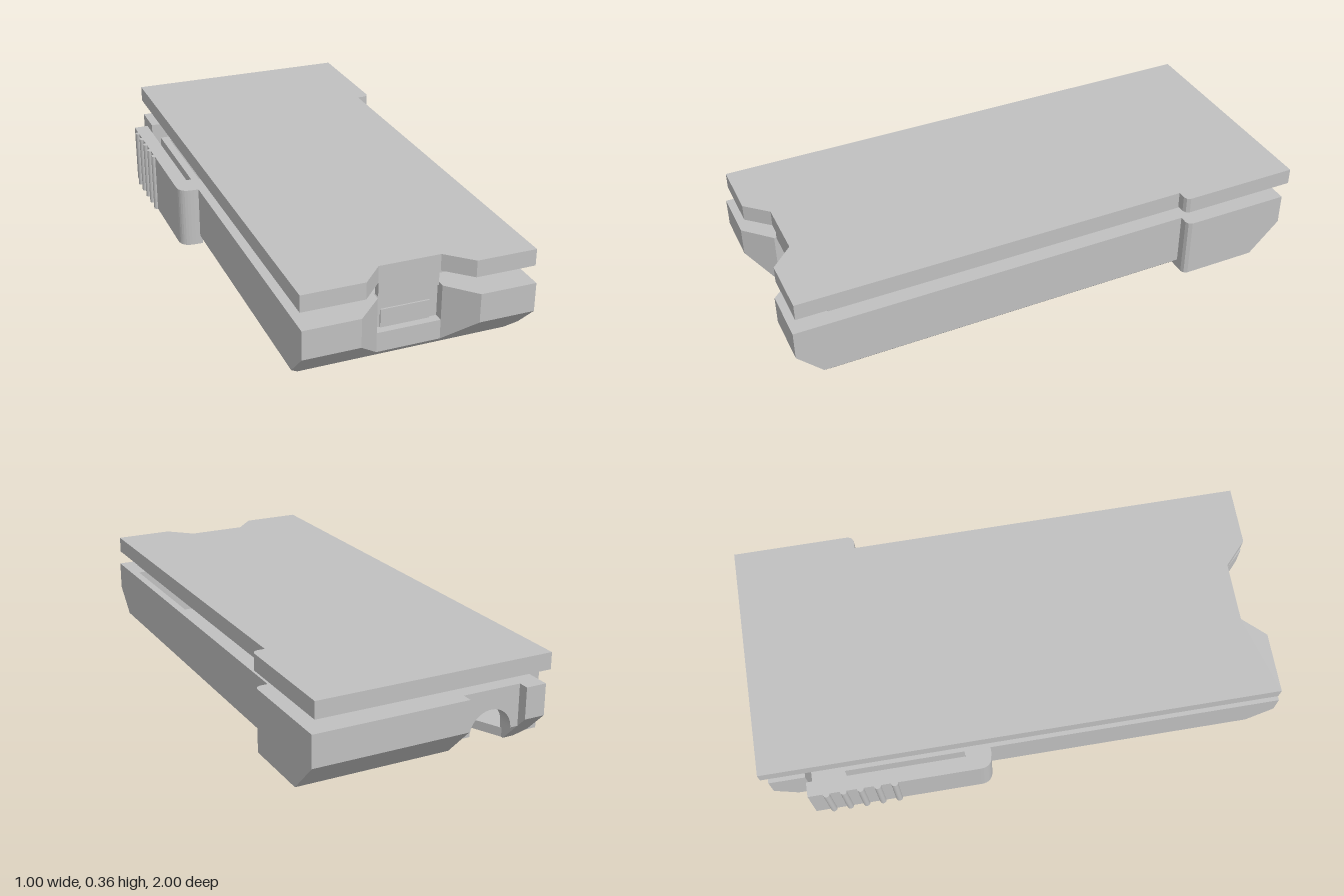
import * as THREE from 'three';

const clamp = THREE.MathUtils.clamp;
const flat = pts => pts.map(([x, z]) => new THREE.Vector2(x, -z));

// Solid lofted through rings of [x, z] points; an optional cavity opens at the top.
function loft(rings, ys, cavity, cavityFloor) {
  const pos = [];
  const push = (...vs) => vs.forEach(v => pos.push(...v));
  const at = (ring, y) => ring.map(([x, z]) => [x, y, z]);
  const walls = (a, b) => a.forEach((p, i) => {
    const j = (i + 1) % a.length;
    push(p, a[j], b[j], p, b[j], b[i]);
  });
  const cap = (ring, y, up, hole = null) => {
    const all = at(hole ? ring.concat(hole) : ring, y);
    for (const [a, b, c] of THREE.ShapeUtils.triangulateShape(flat(ring), hole ? [flat(hole)] : [])) {
      if (up) push(all[a], all[b], all[c]);
      else push(all[a], all[c], all[b]);
    }
  };
  for (let i = 0; i < rings.length - 1; i++) walls(at(rings[i], ys[i]), at(rings[i + 1], ys[i + 1]));
  const last = rings.length - 1;
  cap(rings[0], ys[0], false);
  if (cavity) {
    const hole = [...cavity].reverse();
    cap(rings[last], ys[last], true, hole);
    walls(at(hole, cavityFloor), at(hole, ys[last]));
    cap(cavity, cavityFloor, true);
  } else cap(rings[last], ys[last], true);
  const g = new THREE.BufferGeometry();
  g.setAttribute('position', new THREE.Float32BufferAttribute(pos, 3));
  g.computeVertexNormals();
  return g;
}

// Plan outline of [x, z] points extruded upward from y0 to y1.
function slab(pts, y0, y1) {
  const g = new THREE.ExtrudeGeometry(new THREE.Shape(flat(pts)), { depth: y1 - y0, bevelEnabled: false });
  return g.rotateX(-Math.PI / 2).translate(0, y0, 0);
}

// Sloped ends and bevelled sides of the tray
const frontZ = y => Math.min(1, 0.87 + y);
const backZ = y => -Math.min(0.98, 0.86 + y);
const bevel = y => Math.max(0, 0.035 - y);

function trayRing(y, recessed) {
  const s = bevel(y), zf = frontZ(y), zb = backZ(y);
  const t = clamp((zf - 0.9) / 0.1, 0, 1);
  const zn = Math.min(0.9, zf), zr = recessed ? 0.865 : zn;
  const xl = -0.41 + s, xr = 0.445 - s;
  return [
    [xl, zf], [-0.1 - 0.1 * t, zf], [-0.1, zn], [-0.1, zr], [0.14, zr], [0.14, zn],
    [0.14 + 0.095 * t, zf], [xr, zf],
    [xr, -0.55], [0.475, -0.55], [0.488, -0.556], [0.495, -0.57],
    [0.495, zb], [-0.1, zb], [-0.1, -0.69], [xl, -0.69],
  ];
}

export function createModel() {
  const model = new THREE.Group();
  const grey = new THREE.MeshStandardMaterial({ color: 0xc0c0c0 });
  grey.name = 'grey plastic';
  const add = (name, geometry, parent = model) => {
    const m = new THREE.Mesh(geometry, grey);
    m.name = name;
    parent.add(m);
    return m;
  };

  // Hollow tray with front finger notch and open rear corner
  const levels = [[0, 0], [0.03, 0], [0.035, 0], [0.105, 0], [0.105, 1], [0.12, 1], [0.13, 1], [0.24, 1]];
  const cavity = [[-0.38, 0.835], [0.415, 0.835], [0.415, -0.87], [-0.06, -0.87], [-0.06, -0.65], [-0.38, -0.65]];
  add('tray', loft(levels.map(([y, r]) => trayRing(y, r)), levels.map(l => l[0]), cavity, 0.035));
  add('latchPanel', new THREE.BoxGeometry(0.185, 0.07, 0.008).translate(0.018, 0.14, 0.867));

  // Strap corner: post, arch across the back and low side sill
  const postYs = [0, 0.035, 0.12, 0.24];
  add('strapPost', loft(postYs.map(y => {
    const x = -0.41 + bevel(y);
    return [[x, -0.84], [-0.33, -0.84], [-0.33, backZ(y)], [x, backZ(y)]];
  }), postYs));
  const arch = new THREE.Shape();
  arch.moveTo(-0.34, 0.08);
  arch.lineTo(-0.3, 0.08);
  arch.absarc(-0.215, 0.08, 0.085, Math.PI, 0, true);
  arch.lineTo(-0.09, 0.08);
  arch.lineTo(-0.09, 0.24);
  arch.lineTo(-0.34, 0.24);
  add('strapArch', new THREE.ExtrudeGeometry(arch, { depth: 0.06, bevelEnabled: false, curveSegments: 16 })
    .translate(0, 0, -0.94));
  const sillYs = [0, 0.035];
  add('strapSill', loft(sillYs.map(y => {
    const x = -0.41 + bevel(y);
    return [[x, -0.68], [-0.25, -0.68], [-0.33, -0.85], [x, -0.85]];
  }), sillYs));

  // Side clip arm with rounded elbow and grip ridges
  const clip = new THREE.Shape();
  clip.moveTo(-0.4, 0.13);
  clip.lineTo(-0.4, 0.23);
  clip.lineTo(-0.43, 0.23);
  clip.lineTo(-0.43, 0.84);
  clip.lineTo(-0.487, 0.84);
  for (let i = 0; i < 5; i++) {
    const z = 0.77 - i * 0.065;
    clip.lineTo(-0.487, z + 0.018);
    clip.absarc(-0.487, z, 0.013, Math.PI / 2, Math.PI * 1.5, false);
  }
  clip.lineTo(-0.487, 0.18);
  clip.quadraticCurveTo(-0.487, 0.13, -0.43, 0.13);
  add('sideClip', new THREE.ExtrudeGeometry(clip, { depth: 0.24, bevelEnabled: false, curveSegments: 8 })
    .rotateX(-Math.PI / 2));

  // Lid plate with matching notch and rear shoulder
  const lid = new THREE.Group();
  lid.name = 'lid';
  model.add(lid);
  add('lidPlate', slab([
    [-0.41, 0.985], [-0.18, 0.985], [-0.1, 0.9], [0.13, 0.9], [0.22, 0.985], [0.445, 0.985],
    [0.445, -0.53], [0.475, -0.53], [0.488, -0.536], [0.495, -0.55], [0.495, -1], [-0.41, -1],
  ], 0.3, 0.363), lid);

  // Locating lip beneath the lid, open in the middle
  const lip = new THREE.Shape(flat([[-0.375, 0.86], [0.413, 0.86], [0.413, -0.87], [-0.05, -0.87], [-0.05, -0.64], [-0.375, -0.64]]));
  lip.holes.push(new THREE.Path(flat([[-0.345, 0.83], [-0.345, -0.61], [-0.02, -0.61], [-0.02, -0.84], [0.383, -0.84], [0.383, 0.83]])));
  add('lidLip', new THREE.ExtrudeGeometry(lip, { depth: 0.035, bevelEnabled: false })
    .rotateX(-Math.PI / 2).translate(0, 0.267, 0), lid);

  // Front latch tongue
  add('latchTongue', new THREE.BoxGeometry(0.225, 0.065, 0.025).translate(0.0175, 0.2725, 0.8795), lid);
  return model;
}
